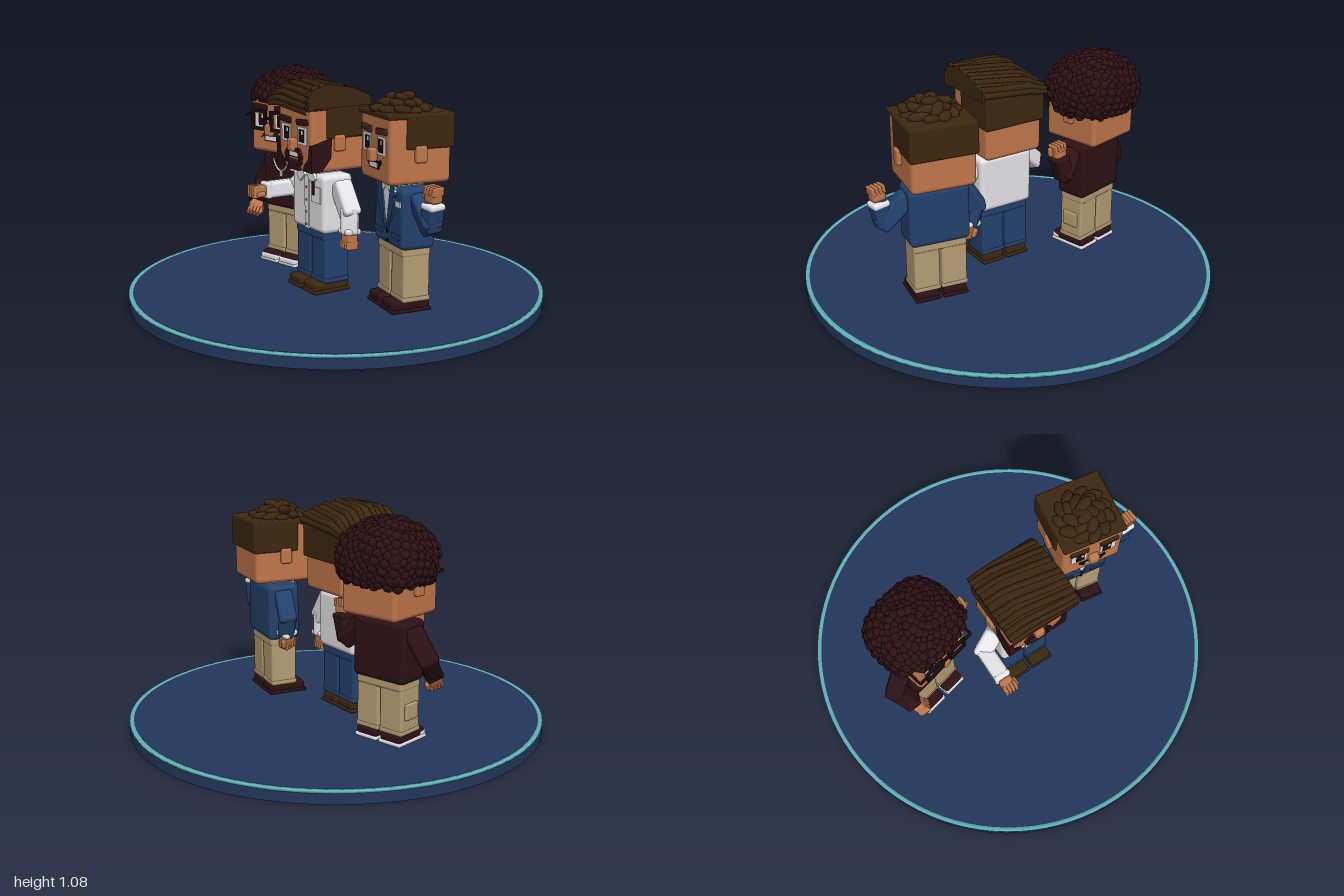
import * as THREE from 'three';
import { mergeGeometries } from 'three/addons/utils/BufferGeometryUtils.js';
import { RoundedBoxGeometry } from 'three/addons/geometries/RoundedBoxGeometry.js';

const mat = (name, color) => Object.assign(new THREE.MeshStandardMaterial({ color }), { name });
const M = {
  base: mat('base navy', 0x22375a), teal: mat('teal', 0x62b9c0), blue: mat('cloth blue', 0x23426e),
  maroon: mat('dark maroon', 0x2e1114), brown: mat('hair brown', 0x3c2710), tan: mat('khaki', 0xb59d74),
  white: mat('white', 0xe8e8ea), skin: mat('skin', 0xc0774a), black: mat('near black', 0x1a0d10),
};

function add(parent, name, geometry, material, x = 0, y = 0, z = 0) {
  const mesh = new THREE.Mesh(geometry, material);
  mesh.name = name;
  mesh.position.set(x, y, z);
  parent.add(mesh);
  return mesh;
}
const box = (p, name, m, w, h, d, x, y, z) => add(p, name, new THREE.BoxGeometry(w, h, d), m, x, y, z);
const soft = (p, name, m, w, h, d, x, y, z, r = 0.015) =>
  add(p, name, new RoundedBoxGeometry(w, h, d, 2, Math.min(r, w / 2.1, h / 2.1, d / 2.1)), m, x, y, z);

// Thin outline plate; side -1 mirrors it across x
function plate(p, name, m, pts, depth, z, side = 1) {
  const shape = new THREE.Shape(pts.map(([x, y]) => new THREE.Vector2(x * side, y)));
  return add(p, name, new THREE.ExtrudeGeometry(shape, { depth, bevelEnabled: false }), m, 0, 0, z);
}

// Rounded block stretched between two points
function limb(p, name, m, a, b, w, extra = 0.04) {
  const A = new THREE.Vector3(...a), B = new THREE.Vector3(...b), dir = B.clone().sub(A);
  const mesh = soft(p, name, m, w, dir.length() + extra, w, ...A.add(B).multiplyScalar(0.5).toArray(), 0.018);
  mesh.quaternion.setFromUnitVectors(new THREE.Vector3(0, 1, 0), dir.normalize());
  return mesh;
}

// Two-part sleeve, cuff, and a fist with four fingers and a thumb
function arm(p, name, sleeve, cuff, shoulder, elbow, wrist, hand, thumb) {
  const g = new THREE.Group();
  g.name = name;
  p.add(g);
  limb(g, 'upperSleeve', sleeve, shoulder, elbow, 0.088, 0.06);
  limb(g, 'foreSleeve', sleeve, elbow, wrist, 0.08, 0.05);
  const W = new THREE.Vector3(...wrist), H = new THREE.Vector3(...hand), dir = H.clone().sub(W).normalize();
  const c = W.clone().addScaledVector(dir, 0.017);
  limb(g, 'cuff', cuff, W.toArray(), c.toArray(), 0.084, 0.015);
  const fist = new THREE.Group();
  fist.name = 'hand';
  fist.position.copy(H);
  fist.quaternion.setFromUnitVectors(new THREE.Vector3(0, 1, 0), dir);
  g.add(fist);
  soft(fist, 'palm', M.skin, 0.068, 0.06, 0.058, 0, -0.005, 0);
  for (let i = 0; i < 4; i++) soft(fist, 'finger', M.skin, 0.0165, 0.04, 0.062, (i - 1.5) * 0.0175, 0.02, 0, 0.007);
  soft(fist, 'thumb', M.skin, 0.022, 0.045, 0.026, thumb * 0.038, 0.002, 0.012, 0.009);
}

// Head, ears, eyes, brows, nose and mouth
function face(g, browMat) {
  soft(g, 'head', M.skin, 0.306, 0.305, 0.3, 0, 0.797, 0, 0.022);
  soft(g, 'neck', M.skin, 0.11, 0.05, 0.1, 0, 0.635, 0);
  soft(g, 'nose', M.skin, 0.05, 0.062, 0.04, 0, 0.765, 0.162, 0.012);
  box(g, 'mouth', M.black, 0.098, 0.036, 0.006, 0, 0.722, 0.152);
  box(g, 'teeth', M.white, 0.076, 0.022, 0.008, 0, 0.721, 0.153);
  for (const s of [-1, 1]) {
    soft(g, 'ear', M.skin, 0.03, 0.075, 0.055, s * 0.16, 0.78, 0.005, 0.01);
    box(g, 'eyeWhite', M.white, 0.08, 0.082, 0.006, s * 0.074, 0.812, 0.151);
    box(g, 'pupil', M.black, 0.044, 0.06, 0.008, s * 0.068, 0.812, 0.152);
    box(g, 'eyeGlint', M.white, 0.014, 0.018, 0.009, s * 0.068 + 0.01, 0.828, 0.153);
    const brow = soft(g, 'eyebrow', browMat, 0.094, 0.028, 0.018, s * 0.076, 0.876, 0.154, 0.005);
    brow.rotation.z = s * 0.06;
  }
}

// Torso, legs and shoes
function body(g, top, pants, shoe, sole) {
  soft(g, 'torso', top, 0.29, 0.28, 0.165, 0, 0.487, 0, 0.025);
  soft(g, 'hips', pants, 0.262, 0.05, 0.14, 0, 0.335, 0);
  for (const s of [-1, 1]) {
    soft(g, 'leg', pants, 0.124, 0.24, 0.132, s * 0.067, 0.222, 0, 0.01);
    soft(g, 'trouserHem', pants, 0.13, 0.022, 0.138, s * 0.067, 0.118, 0, 0.006);
    soft(g, 'shoe', shoe, 0.116, 0.045, 0.19, s * 0.068, 0.088, 0.022, 0.016);
    soft(g, 'sole', sole, 0.124, 0.017, 0.2, s * 0.068, 0.066, 0.022, 0.006);
  }
}

// Close-cut hair on top, sides and back
function hairCap(g) {
  soft(g, 'hairSides', M.brown, 0.322, 0.155, 0.235, 0, 0.878, -0.045, 0.01);
  soft(g, 'hairTop', M.brown, 0.318, 0.025, 0.32, 0, 0.946, 0, 0.008);
}

// Dome of small curls, open over the face
function curlyHair(g) {
  const curls = [], n = 620;
  for (let i = 0; i < n; i++) {
    const v = 1 - (2 * (i + 0.5)) / n, a = i * 2.39996;
    const c = Math.cos(a), s = Math.sin(a), h = Math.sqrt(1 - v * v);
    const k = h / Math.cbrt(Math.abs(c) ** 3 + Math.abs(s) ** 3);
    const x = c * k * 0.2, y = 0.885 + v * 0.175, z = s * k * 0.182 - 0.012;
    if (y < 0.795 || (z > 0.09 && y < 0.915)) continue;
    const r = 0.021 + 0.005 * Math.sin(i * 7.3);
    curls.push(new THREE.IcosahedronGeometry(r, 1).translate(x, y, z));
  }
  add(g, 'curls', mergeGeometries(curls), M.maroon);
  soft(g, 'hairBase', M.maroon, 0.36, 0.16, 0.27, 0, 0.88, -0.045, 0.04);
  const dome = add(g, 'hairDome', new THREE.SphereGeometry(1, 24, 8, 0, Math.PI * 2, 0, Math.PI / 2), M.maroon, 0, 0.9, -0.012);
  dome.scale.set(0.205, 0.16, 0.186);
}

// Swept-up quiff: extruded profile falling away to one side, with combed strands
function quiff(g) {
  const pts = [[-0.16, 0.95], [-0.15, 0.995], [-0.05, 1.035], [0.08, 1.055], [0.16, 1.035], [0.188, 0.985], [0.18, 0.935]];
  const fall = (x) => 0.3 + 0.7 * THREE.MathUtils.smoothstep(x, -0.2, -0.06);
  const bend = (x, y) => 0.94 + (y - 0.94) * fall(x);
  const shape = new THREE.Shape([...pts, [0.145, 0.945]].map((p) => new THREE.Vector2(...p)));
  const geo = new THREE.ExtrudeGeometry(shape, { depth: 0.35, steps: 12, bevelEnabled: false }).rotateY(-Math.PI / 2).translate(0.18, 0, 0);
  const pos = geo.attributes.position;
  for (let i = 0; i < pos.count; i++) pos.setY(i, bend(pos.getX(i), pos.getY(i)));
  geo.computeVertexNormals();
  add(g, 'quiff', geo, M.brown);
  const outline = new THREE.CatmullRomCurve3(pts.map(([z, y]) => new THREE.Vector3(0, y, z)));
  for (let i = 0; i < 11; i++) {
    const path = [];
    for (let j = 0; j <= 8; j++) {
      const x = -0.168 + j * 0.043, q = outline.getPoint(Math.min(1, 0.02 + i * 0.087 + j * 0.012));
      path.push(new THREE.Vector3(x, bend(x, q.y) - 0.006, q.z));
    }
    add(g, 'quiffStrand', new THREE.TubeGeometry(new THREE.CatmullRomCurve3(path), 16, 0.016, 6), M.brown);
  }
}

// Tousled tufts arranged in swirling rings
function tufts(g) {
  for (const [n, r, y, tilt] of [[11, 0.105, 0.962, 0.25], [8, 0.065, 0.988, 0.35], [4, 0.025, 1.008, 0.5]])
    for (let i = 0; i < n; i++) {
      const a = (i / n) * Math.PI * 2 + r * 9;
      const t = add(g, 'hairTuft', new THREE.SphereGeometry(1, 10, 7), M.brown, r * Math.cos(a), y + 0.007 * Math.sin(i * 2.6), 0.025 + r * Math.sin(a));
      t.scale.set(0.052, 0.023, 0.029);
      t.rotation.set(0, -a - 0.9, tilt * Math.sin(i * 1.9 + 1));
    }
}

function collar(g, m) {
  for (const s of [-1, 1]) plate(g, 'collar', m, [[0.012, 0.612], [0.055, 0.575], [0.085, 0.605], [0.06, 0.634], [0.03, 0.634]], 0.016, 0.076, s);
  soft(g, 'collarBand', m, 0.14, 0.028, 0.13, 0, 0.63, 0, 0.008);
}

function figure(root, name, x, z, yaw) {
  const g = new THREE.Group();
  g.name = name;
  g.position.set(x, 0, z);
  g.rotation.y = yaw;
  root.add(g);
  return g;
}

export function createModel() {
  const root = new THREE.Group();
  root.name = 'threeFigures';

  // Round stand with a bright rim
  add(root, 'stand', new THREE.CylinderGeometry(1, 1, 0.05, 96), M.base, 0, 0.025, 0);
  add(root, 'standTop', new THREE.CylinderGeometry(0.985, 0.985, 0.01, 96), M.base, 0, 0.053, 0);
  const rim = [[0.98, 0.048], [1, 0.048], [1, 0.06], [0.98, 0.06], [0.98, 0.048]].map((p) => new THREE.Vector2(...p));
  add(root, 'rim', new THREE.LatheGeometry(rim, 96), M.teal);

  // Curly-haired figure with glasses
  const a = figure(root, 'curlyFigure', -0.46, -0.06, 0.18);
  face(a, M.maroon);
  body(a, M.maroon, M.tan, M.maroon, M.white);
  curlyHair(a);
  collar(a, M.maroon);
  plate(a, 'moustache', M.maroon, [[-0.07, 0.722], [-0.045, 0.75], [0.045, 0.75], [0.07, 0.722], [0.05, 0.738], [-0.05, 0.738]], 0.009, 0.15);
  for (const s of [-1, 1]) {
    const frame = new THREE.Shape([[-0.053, -0.052], [0.053, -0.052], [0.053, 0.052], [-0.053, 0.052]].map((p) => new THREE.Vector2(...p)));
    frame.holes.push(new THREE.Path([[-0.038, -0.037], [-0.038, 0.037], [0.038, 0.037], [0.038, -0.037]].map((p) => new THREE.Vector2(...p))));
    add(a, 'glassesFrame', new THREE.ExtrudeGeometry(frame, { depth: 0.014, bevelEnabled: false }), M.black, s * 0.068, 0.812, 0.166);
    box(a, 'glassesArm', M.black, 0.01, 0.014, 0.17, s * 0.16, 0.83, 0.09);
    box(a, 'glassesHinge', M.black, 0.045, 0.014, 0.012, s * 0.14, 0.83, 0.173);
    soft(a, 'cargoPocket', M.tan, 0.018, 0.075, 0.085, s * 0.133, 0.215, 0, 0.006);
    soft(a, 'toeCap', M.white, 0.118, 0.032, 0.05, s * 0.068, 0.083, 0.098, 0.012);
  }
  box(a, 'glassesBridge', M.black, 0.05, 0.014, 0.012, 0, 0.825, 0.173);
  const chain = [[-0.05, 0.605], [-0.035, 0.565], [0, 0.545], [0.035, 0.565], [0.05, 0.605]].map(([x, y]) => new THREE.Vector3(x, y, 0.09));
  add(a, 'necklace', new THREE.TubeGeometry(new THREE.CatmullRomCurve3(chain), 20, 0.005, 6), M.white);
  box(a, 'pendant', M.white, 0.014, 0.03, 0.008, 0, 0.53, 0.09);
  box(a, 'chestPatch', M.white, 0.035, 0.022, 0.006, 0.088, 0.567, 0.084);
  arm(root, 'curlyRightArm', M.maroon, M.maroon, [-0.605, 0.57, -0.035], [-0.665, 0.465, -0.01], [-0.625, 0.385, 0.055], [-0.6, 0.335, 0.088], 1);
  arm(root, 'curlyLeftArm', M.maroon, M.maroon, [-0.315, 0.565, -0.09], [-0.245, 0.5, -0.125], [-0.217, 0.58, -0.122], [-0.21, 0.632, -0.12], 1);

  // Bearded figure in a white shirt
  const b = figure(root, 'beardedFigure', 0.003, 0.083, -0.06);
  face(b, M.maroon);
  body(b, M.white, M.blue, M.brown, M.brown);
  hairCap(b);
  quiff(b);
  collar(b, M.white);
  for (const s of [-1, 1]) {
    plate(b, 'beardFront', M.maroon, [[0.152, 0.775], [0.138, 0.775], [0.128, 0.71], [0.092, 0.68], [0.085, 0.65], [0.152, 0.65]], 0.009, 0.147, s);
    const cheek = plate(b, 'beardCheek', M.maroon, [[0.156, 0.775], [0.045, 0.805], [0.05, 0.71], [0.1, 0.652], [0.156, 0.65]], 0.009, 0);
    cheek.rotation.y = -Math.PI / 2;
    cheek.position.x = s > 0 ? 0.159 : -0.15;
    plate(b, 'moustacheHalf', M.maroon, [[0, 0.752], [0.05, 0.75], [0.075, 0.715], [0.066, 0.675], [0.048, 0.675], [0.052, 0.728], [0, 0.735]], 0.014, 0.149, s);
  }
  soft(b, 'goatee', M.maroon, 0.1, 0.05, 0.022, 0, 0.669, 0.151, 0.008);
  box(b, 'buttonPlacket', M.white, 0.034, 0.255, 0.008, 0, 0.483, 0.084);
  for (let i = 0; i < 4; i++)
    add(b, 'shirtButton', new THREE.CylinderGeometry(0.006, 0.006, 0.005, 10).rotateX(Math.PI / 2), M.tan, 0, 0.555 - i * 0.06, 0.09);
  box(b, 'shirtPocket', M.white, 0.075, 0.075, 0.009, 0.083, 0.53, 0.084);
  box(b, 'pen', M.maroon, 0.012, 0.065, 0.009, 0.066, 0.56, 0.091);
  arm(root, 'beardedRightArm', M.white, M.white, [-0.15, 0.565, 0.075], [-0.215, 0.512, 0.095], [-0.225, 0.512, 0.245], [-0.227, 0.512, 0.302], 1);
  arm(root, 'beardedLeftArm', M.white, M.white, [0.165, 0.565, 0.085], [0.23, 0.47, 0.09], [0.235, 0.385, 0.092], [0.235, 0.332, 0.095], -1);

  // Waving figure in a blue jacket
  const c = figure(root, 'wavingFigure', 0.455, -0.05, -0.22);
  face(c, M.brown);
  body(c, M.blue, M.tan, M.maroon, M.maroon);
  hairCap(c);
  tufts(c);
  collar(c, M.white);
  plate(c, 'shirtFront', M.white, [[-0.06, 0.622], [0, 0.425], [0.06, 0.622]], 0.006, 0.081);
  for (const s of [-1, 1]) {
    plate(c, 'lapel', M.blue, [[0.045, 0.628], [0.004, 0.42], [0.06, 0.5], [0.085, 0.56], [0.068, 0.575], [0.088, 0.59], [0.072, 0.63]], 0.012, 0.083, s);
    box(c, 'jacketPocket', M.blue, 0.075, 0.022, 0.012, s * 0.085, 0.405, 0.083);
    plate(c, 'smileCorner', M.black, [[0.045, 0.738], [0.066, 0.748], [0.068, 0.732], [0.045, 0.71]], 0.007, 0.149, s);
  }
  for (const y of [0.41, 0.37])
    add(c, 'jacketButton', new THREE.CylinderGeometry(0.008, 0.008, 0.006, 10).rotateX(Math.PI / 2), M.black, 0, y, 0.085);
  box(c, 'pocketSquare', M.white, 0.042, 0.025, 0.008, 0.105, 0.553, 0.085);
  arm(root, 'wavingLeftArm', M.blue, M.white, [0.6, 0.565, -0.02], [0.695, 0.48, 0], [0.712, 0.562, 0.005], [0.718, 0.622, 0.008], -1);
  arm(root, 'wavingRightArm', M.blue, M.white, [0.315, 0.565, -0.085], [0.262, 0.475, -0.1], [0.285, 0.4, -0.09], [0.297, 0.35, -0.08], 1);

  return root;
}
